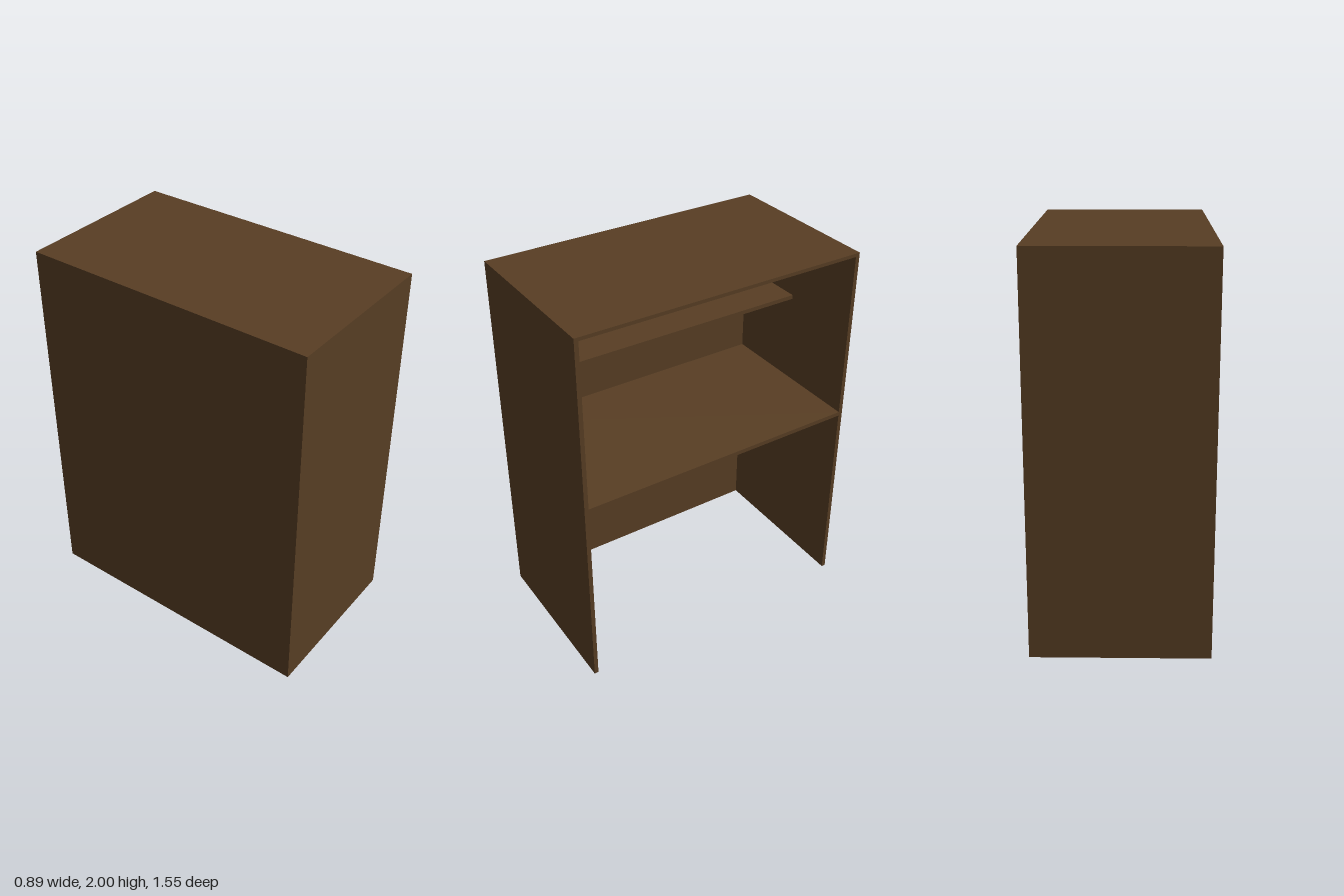
import * as THREE from 'three';

const W = 0.89, H = 2, D = 1.555; // overall x, y, z
const T = 0.022;                  // board thickness
const TOP = 0.018;                // top board thickness

export function createModel() {
  const group = new THREE.Group();
  const darkWood = new THREE.MeshStandardMaterial({ color: 0x583e24 });

  // Adds a board spanning [min, max] on each axis
  const board = (name, [x0, x1], [y0, y1], [z0, z1]) => {
    const mesh = new THREE.Mesh(new THREE.BoxGeometry(x1 - x0, y1 - y0, z1 - z0), darkWood);
    mesh.position.set((x0 + x1) / 2, (y0 + y1) / 2, (z0 + z1) / 2);
    mesh.name = name;
    group.add(mesh);
  };

  const inner = [-D / 2 + T, D / 2 - T];

  // Carcass: open towards +x and at the bottom
  board('frontPanel', [-W / 2, W / 2], [0, H], [D / 2 - T, D / 2]);
  board('rearPanel', [-W / 2, W / 2], [0, H], [-D / 2, -D / 2 + T]);
  board('backPanel', [-W / 2, -W / 2 + T], [0, H], inner);
  board('topPanel', [-W / 2 + T, W / 2], [H - TOP, H], inner);

  // Full-depth middle shelf and half-depth upper shelf
  board('middleShelf', [-W / 2 + T, W / 2], [1.068, 1.09], inner);
  board('upperShelf', [-W / 2 + T, 0], [1.568, 1.59], inner);

  return group;
}
